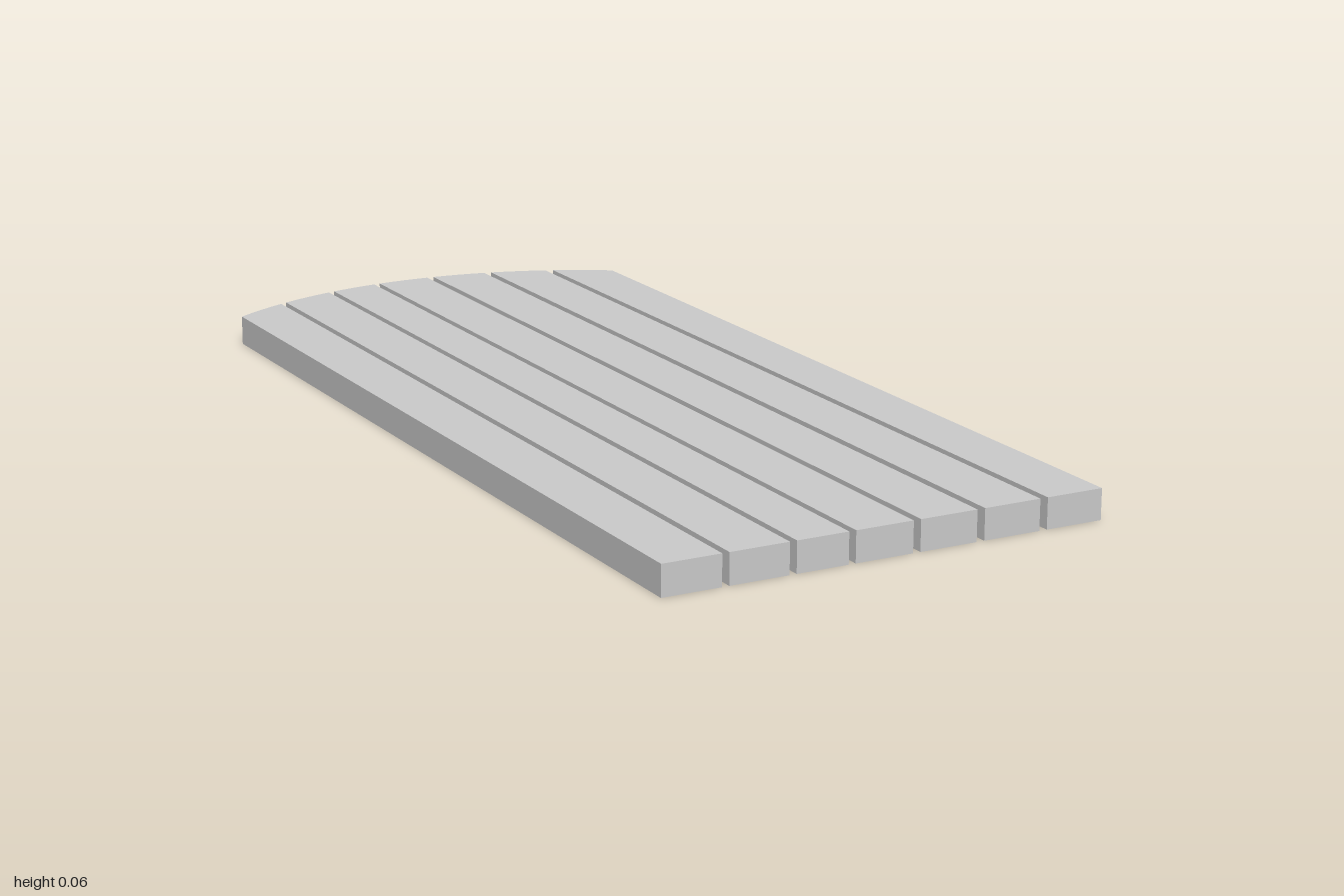
import * as THREE from 'three';

const THICKNESS = 0.06;
const FRONT_Z = 1;
const ARC_RADIUS = 0.811;

// Left and right edge of each plank; the third one is slightly narrower
const PLANKS = [
  [-0.448, -0.331], [-0.317, -0.199], [-0.185, -0.081], [-0.067, 0.05],
  [0.065, 0.182], [0.198, 0.315], [0.331, 0.448],
];

// Distance from the centre to the arched rear end at a given x
const arch = (x) => 1 - ARC_RADIUS + Math.sqrt(ARC_RADIUS ** 2 - x ** 2);

// Plank outline drawn flat (shape y = -z), with its rear end cut along the arch
function plankGeometry(x0, x1) {
  const shape = new THREE.Shape();
  shape.moveTo(x0, -FRONT_Z);
  shape.lineTo(x1, -FRONT_Z);
  const steps = 4;
  for (let i = 0; i <= steps; i++) {
    const x = THREE.MathUtils.lerp(x1, x0, i / steps);
    shape.lineTo(x, arch(x));
  }
  shape.closePath();
  const geometry = new THREE.ExtrudeGeometry(shape, { depth: THICKNESS, bevelEnabled: false });
  return geometry.rotateX(-Math.PI / 2);
}

export function createModel() {
  const group = new THREE.Group();
  group.name = 'plankPanel';
  const material = new THREE.MeshStandardMaterial({ color: 0xcccccc });

  // Row of planks separated by narrow gaps
  PLANKS.forEach(([x0, x1], i) => {
    const plank = new THREE.Mesh(plankGeometry(x0, x1), material);
    plank.name = `plank${i + 1}`;
    group.add(plank);
  });
  return group;
}
